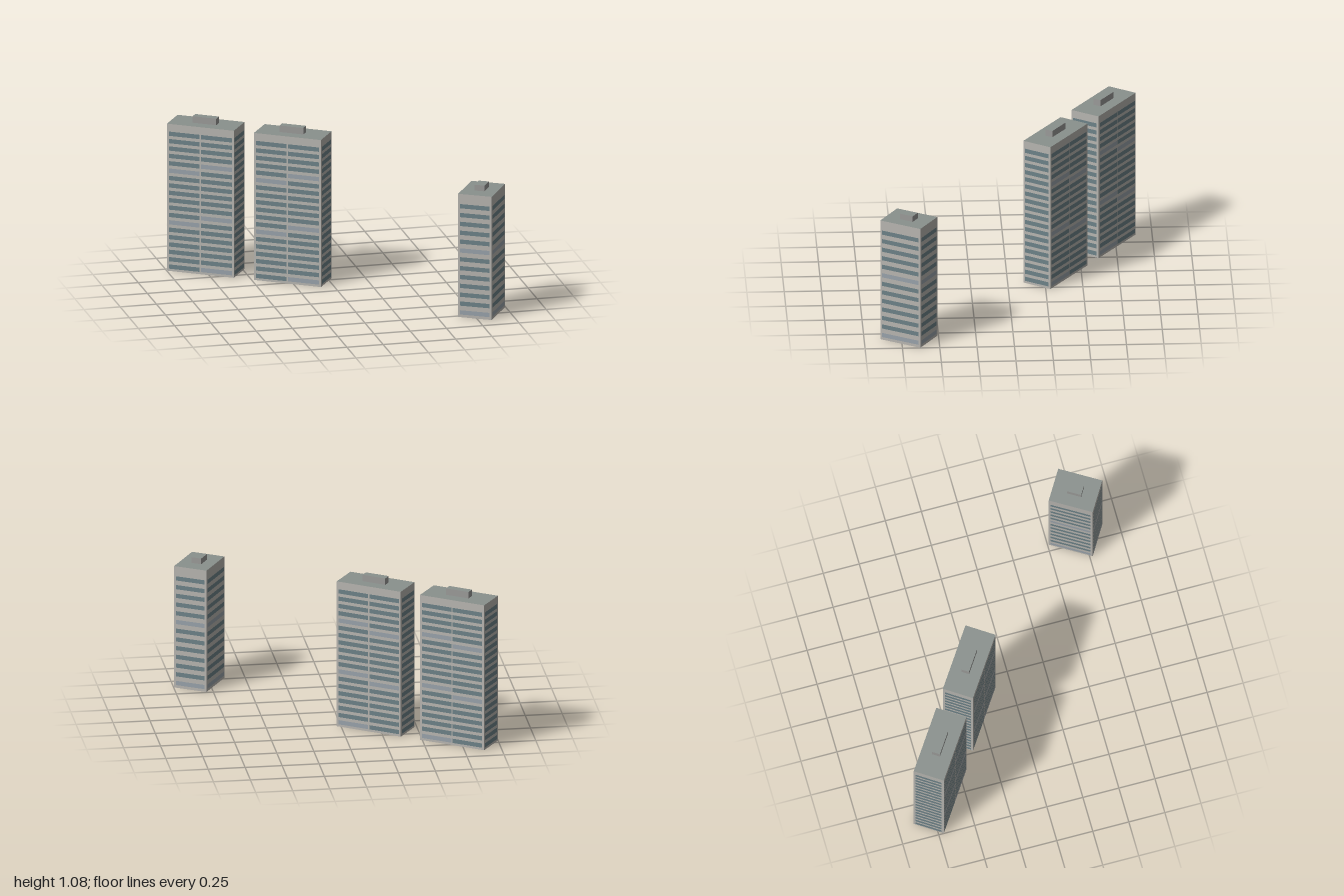
import * as THREE from 'three';

const material = (color) => new THREE.MeshStandardMaterial({ color, flatShading: true });
const wallMat = material(0xb9b7b2);
const roofMat = material(0x8a918d);
const hutMat = material(0x9c9c9a);
const glassMat = material(0x6e8389);
const paleGlassMat = material(0x9aa4ac);

function addBox(parent, name, size, y, mat) {
  const mesh = new THREE.Mesh(new THREE.BoxGeometry(...size), mat);
  mesh.name = name;
  mesh.position.y = y + size[1] / 2;
  parent.add(mesh);
}

// One wall of ribbon windows facing +z, split into equal bays
function windowWall(width, bays, t, isPale) {
  const wall = new THREE.Group();
  wall.name = 'windowWall';
  const margin = 0.014, gap = 0.01;
  const bayWidth = (width - 2 * margin - (bays - 1) * gap) / bays;
  const pane = new THREE.PlaneGeometry(bayWidth, 0.03);
  for (let row = 0; row < t.rows; row++) {
    for (let bay = 0; bay < bays; bay++) {
      const mesh = new THREE.Mesh(pane, isPale(row, bay) ? paleGlassMat : glassMat);
      mesh.name = 'windowBand';
      mesh.position.set(
        -width / 2 + margin + bayWidth / 2 + bay * (bayWidth + gap),
        t.firstRow + row * t.pitch, 0);
      wall.add(mesh);
    }
  }
  return wall;
}

function tower(t) {
  const group = new THREE.Group();
  group.name = t.name;
  const [w, h, d] = t.size;
  addBox(group, 'towerBody', [w, h, d],
    0, [wallMat, wallMat, roofMat, wallMat, wallMat, wallMat]);
  addBox(group, 'roofHut', t.hut, h, [hutMat, hutMat, roofMat, hutMat, hutMat, hutMat]);

  // Windows on all four sides
  for (let side = 0; side < 4; side++) {
    const isEnd = side % 2 === 1;
    const bays = isEnd ? 1 : t.bays;
    // The back wall counts bays the other way, so flip it to match the front
    const isPale = (row, bay) => t.pale(row, side === 2 ? bays - 1 - bay : bay, isEnd);
    const wall = windowWall(isEnd ? d : w, bays, t, isPale);
    const out = (isEnd ? w : d) / 2 + 0.0015;
    const angle = side * Math.PI / 2;
    wall.position.set(Math.sin(angle) * out, 0, Math.cos(angle) * out);
    wall.rotation.y = angle;
    group.add(wall);
  }
  group.position.set(t.x, 0, t.z);
  group.rotation.y = t.turn;
  return group;
}

export function createModel() {
  const model = new THREE.Group();
  model.name = 'towerBlocks';

  // Two matching slab towers
  const slab = {
    size: [0.476, 1.03, 0.212], hut: [0.169, 0.045, 0.054], turn: -0.592,
    rows: 19, firstRow: 0.031, pitch: 0.0517, bays: 2,
    pale: (row, bay, isEnd) => !isEnd &&
      (bay === 1 ? [0, 7, 14] : [6, 13]).includes(row),
  };
  model.add(tower({ ...slab, name: 'backTower', x: -0.742, z: -0.67 }));
  model.add(tower({ ...slab, name: 'middleTower', x: -0.228, z: -0.326 }));

  // Shorter tower standing apart
  model.add(tower({
    name: 'frontTower', x: 0.817, z: 0.7, turn: -0.545,
    size: [0.235, 0.863, 0.306], hut: [0.07, 0.04, 0.099],
    rows: 13, firstRow: 0.034, pitch: 0.062, bays: 1,
    pale: (row) => row === 0 || row === 7,
  }));
  return model;
}
